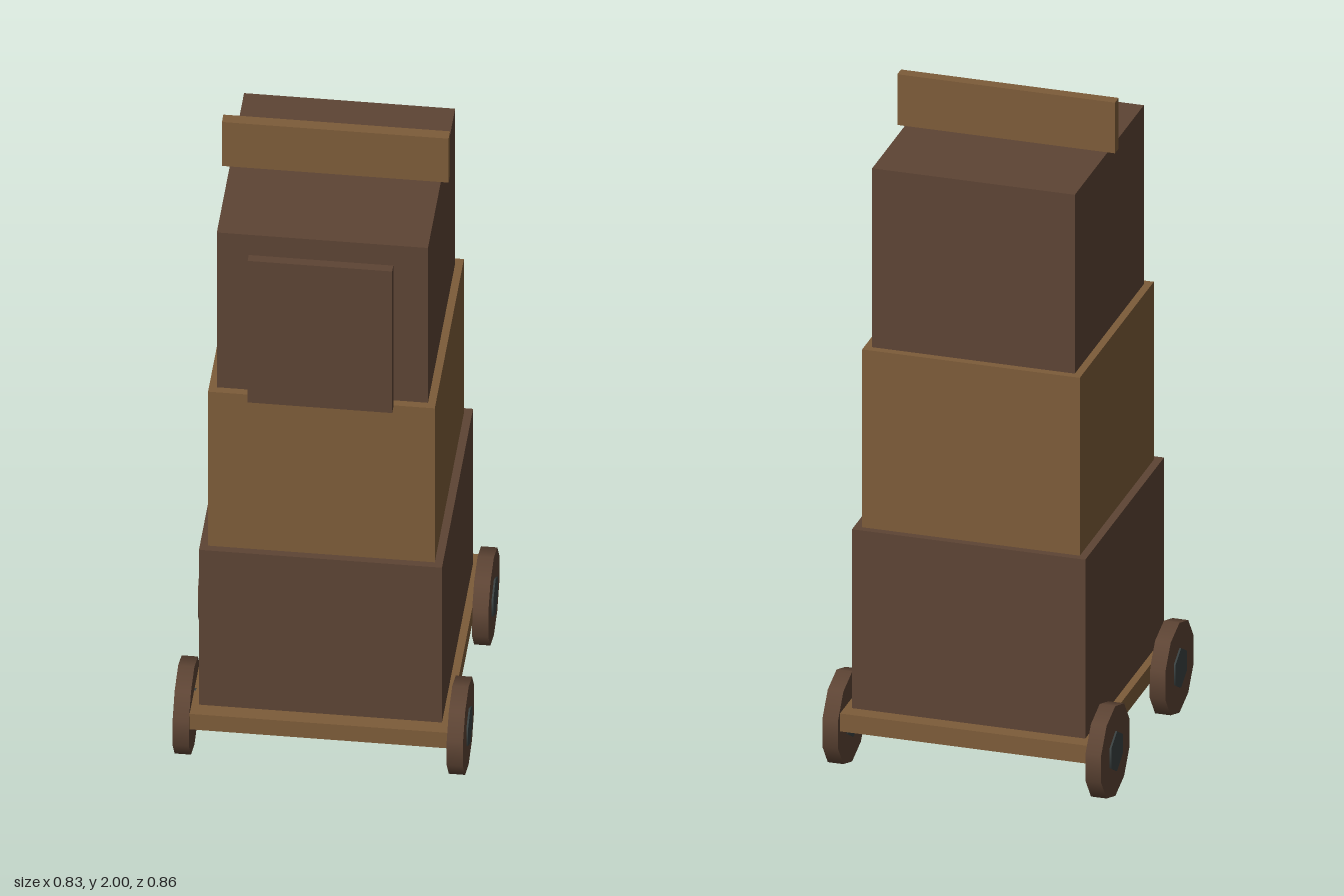
import * as THREE from 'three';

export function createModel() {
  const model = new THREE.Group();
  model.name = 'wheeledCrateStack';

  const mat = (name, color) => {
    const m = new THREE.MeshStandardMaterial({ color });
    m.name = name;
    return m;
  };
  const darkWood = mat('dark wood', 0x5d4434);
  const lightWood = mat('light wood', 0x7d5c39);
  const iron = mat('iron', 0x3a4242);

  // Box given by full width and depth, and its bottom and top heights
  const box = (name, material, width, depth, y0, y1, z = 0) => {
    const mesh = new THREE.Mesh(new THREE.BoxGeometry(width, y1 - y0, depth), material);
    mesh.position.set(0, (y0 + y1) / 2, z);
    mesh.name = name;
    model.add(mesh);
  };

  // Cart base and the three stacked crates
  box('platform', lightWood, 0.73, 0.82, 0.142, 0.197);
  box('lowerCrate', darkWood, 0.686, 0.73, 0.197, 0.747);
  box('middleCrate', lightWood, 0.64, 0.686, 0.747, 1.294);
  box('upperCrate', darkWood, 0.596, 0.64, 1.294, 1.844);

  // Top handle board and the front panel, which stands clear of the crate
  box('handle', lightWood, 0.64, 0.034, 1.844, 2);
  box('frontPanel', darkWood, 0.408, 0.027, 1.294, 1.797, 0.365);

  // Disc on the x axis with a corner pointing straight up
  const disc = (name, material, radius, thickness, sides) => {
    const geometry = new THREE.CylinderGeometry(radius, radius, thickness, sides, 1, false, Math.PI / 2);
    geometry.rotateZ(Math.PI / 2);
    const mesh = new THREE.Mesh(geometry, material);
    mesh.name = name;
    return mesh;
  };

  // Four wheels with six-sided hubs
  for (const sx of [-1, 1]) {
    for (const sz of [-1, 1]) {
      const wheel = new THREE.Group();
      wheel.name = (sz > 0 ? 'front' : 'back') + (sx > 0 ? 'Left' : 'Right') + 'Wheel';
      wheel.add(disc('tyre', darkWood, 0.138, 0.046, 10));
      wheel.add(disc('hub', iron, 0.061, 0.056, 6));
      wheel.position.set(sx * 0.387, 0.139, sz * 0.297);
      model.add(wheel);
    }
  }

  return model;
}
